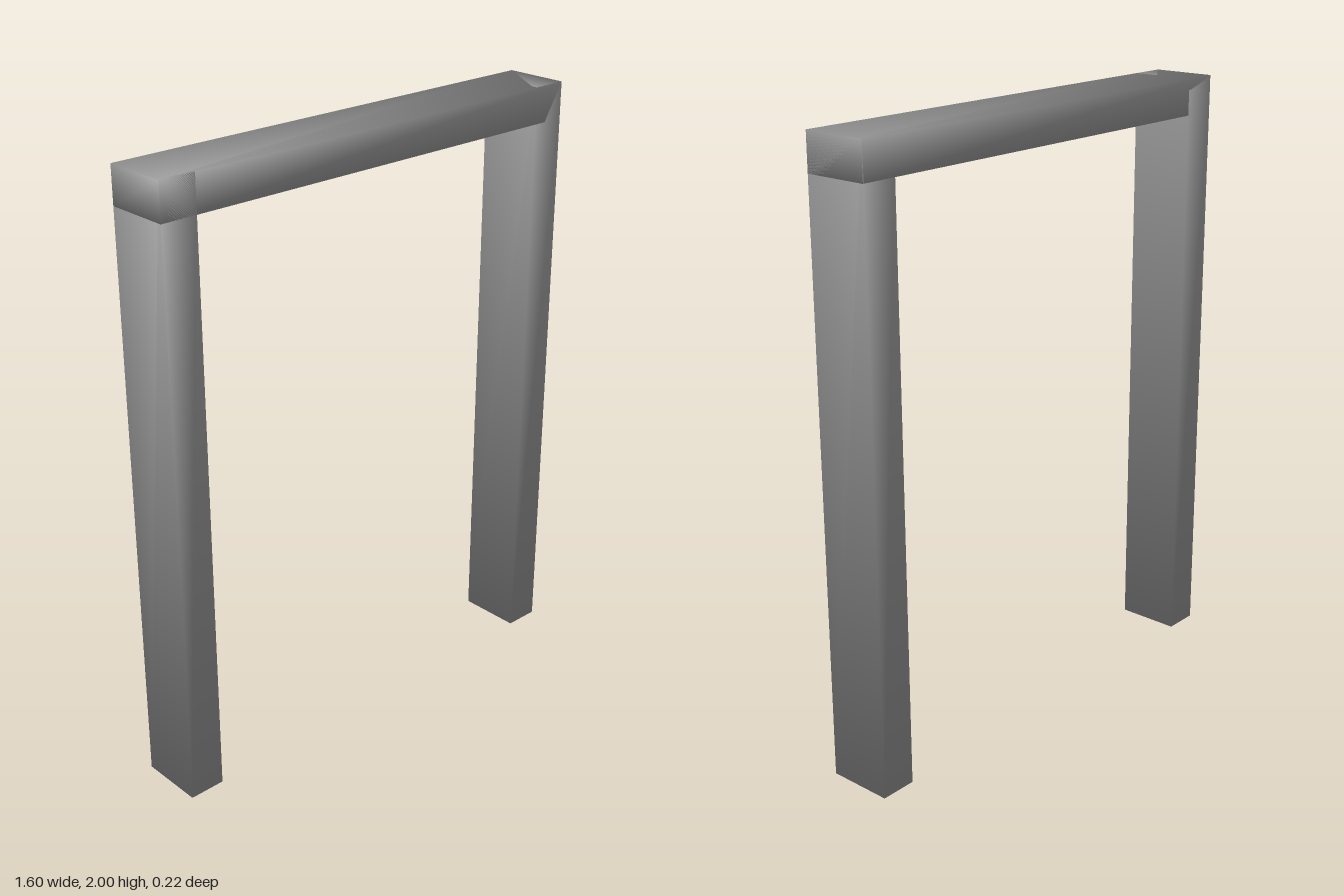
import * as THREE from 'three';

const HEIGHT = 2, WIDTH = 1.6, DEPTH = 0.215, THICK = 0.12;

// Box whose normals point out through its corners, so shading runs smoothly round the edges
function smoothBox(w, h, d) {
  const geometry = new THREE.BoxGeometry(w, h, d);
  const { position, normal } = geometry.attributes;
  const n = new THREE.Vector3();
  for (let i = 0; i < position.count; i++) {
    n.set(Math.sign(position.getX(i)), Math.sign(position.getY(i)), Math.sign(position.getZ(i))).normalize();
    normal.setXYZ(i, n.x, n.y, n.z);
  }
  return geometry;
}

export function createModel() {
  const group = new THREE.Group();
  group.name = 'doorFrame';
  const material = new THREE.MeshStandardMaterial({ color: 0x8a8a8a });

  const add = (name, w, h, x, y) => {
    const mesh = new THREE.Mesh(smoothBox(w, h, DEPTH), material);
    mesh.name = name;
    mesh.position.set(x, y, 0);
    group.add(mesh);
  };

  // Crosspiece running the full width, level with the tops of the posts
  add('lintel', WIDTH, THICK, 0, HEIGHT - THICK / 2);

  // Upright posts
  for (const [name, side] of [['leftPost', 1], ['rightPost', -1]]) {
    add(name, THICK, HEIGHT, side * (WIDTH - THICK) / 2, HEIGHT / 2);
  }

  return group;
}
